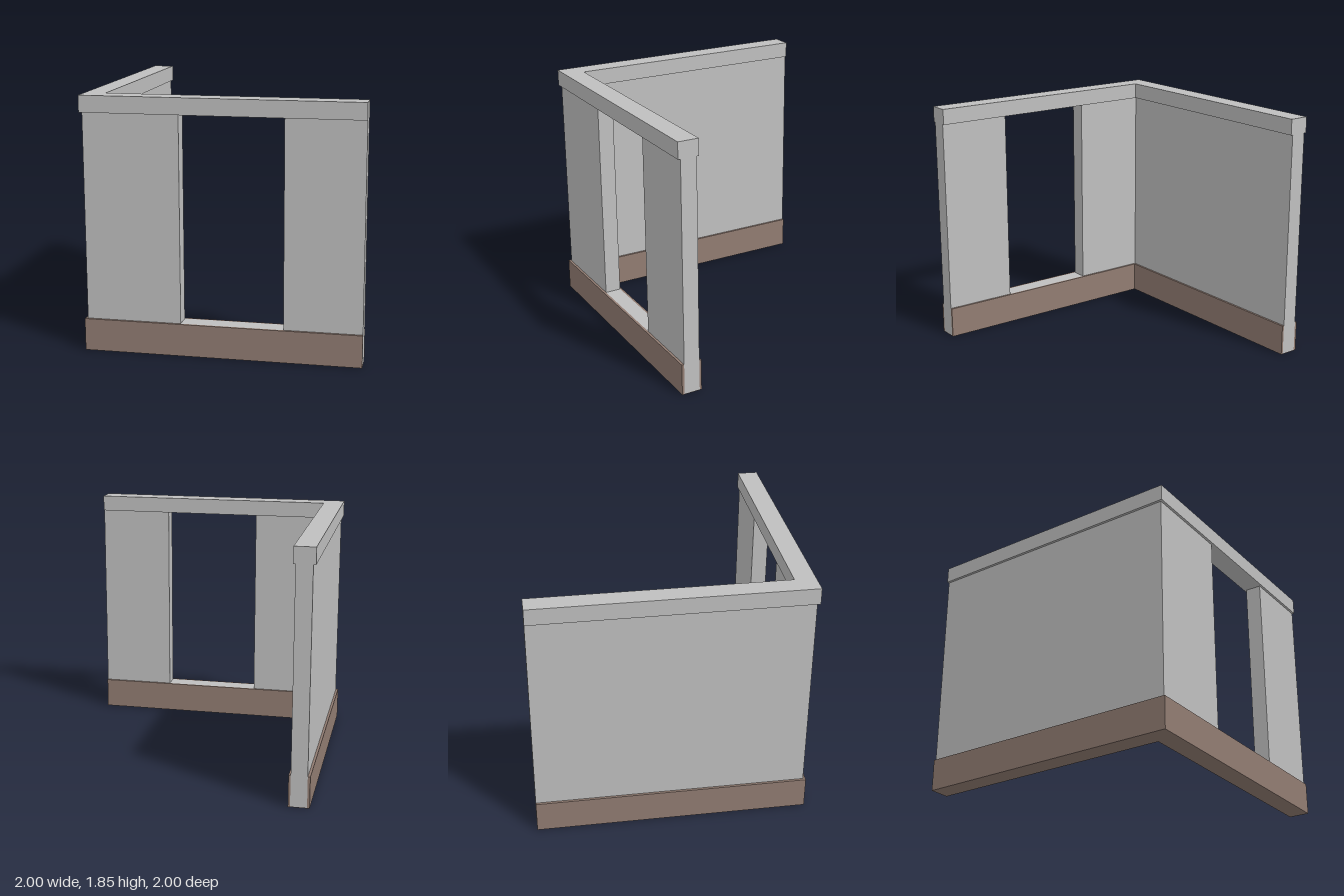
import * as THREE from 'three';

export function createModel() {
  const model = new THREE.Group();
  model.name = 'cornerWall';
  const plaster = new THREE.MeshStandardMaterial({ color: 0xbfbfbf });
  plaster.name = 'grey plaster';
  const skirting = new THREE.MeshStandardMaterial({ color: 0x917c72 });
  skirting.name = 'brown skirting';

  const OUT = 0.982, IN = 0.863, LIP = 0.847; // wall faces and inner edge of the trim
  const BASE = 0.235, HEAD = 1.73, TOP = 1.85;
  const DOOR_L = -0.294, DOOR_R = 0.443;

  // L-shaped band following the corner, between two offsets from the centre
  function cornerBand(name, outer, inner, y0, y1, material) {
    const shape = new THREE.Shape([
      [-outer, -1], [-outer, outer], [1, outer], [1, inner], [-inner, inner], [-inner, -1],
    ].map(([x, z]) => new THREE.Vector2(x, -z)));
    const geo = new THREE.ExtrudeGeometry(shape, { depth: y1 - y0, bevelEnabled: false });
    geo.rotateX(-Math.PI / 2);
    geo.translate(0, y0, 0);
    const mesh = new THREE.Mesh(geo, material);
    mesh.name = name;
    model.add(mesh);
  }

  // Upright wall panel
  function panel(name, x0, x1, z0, z1) {
    const geo = new THREE.BoxGeometry(x1 - x0, HEAD - BASE, z1 - z0);
    geo.translate((x0 + x1) / 2, (BASE + HEAD) / 2, (z0 + z1) / 2);
    const mesh = new THREE.Mesh(geo, plaster);
    mesh.name = name;
    model.add(mesh);
  }

  // Plinth core, sill of the doorway, and its underside
  cornerBand('plinthCore', OUT, IN, 0.004, BASE, plaster);
  cornerBand('plinthUnderside', OUT, IN, 0, 0.004, skirting);

  // Skirting on the outer and inner faces
  cornerBand('outerSkirting', 1, OUT, 0, BASE, skirting);
  cornerBand('innerSkirting', IN, LIP, 0, BASE, skirting);

  // Solid side wall and the two panels beside the doorway
  panel('sideWall', -OUT, -IN, -1, OUT);
  panel('frontWallRight', -IN, DOOR_L, IN, OUT);
  panel('frontWallLeft', DOOR_R, 1, IN, OUT);

  // Coping along the top, also the lintel of the doorway
  cornerBand('coping', 1, LIP, HEAD, TOP, plaster);

  return model;
}
